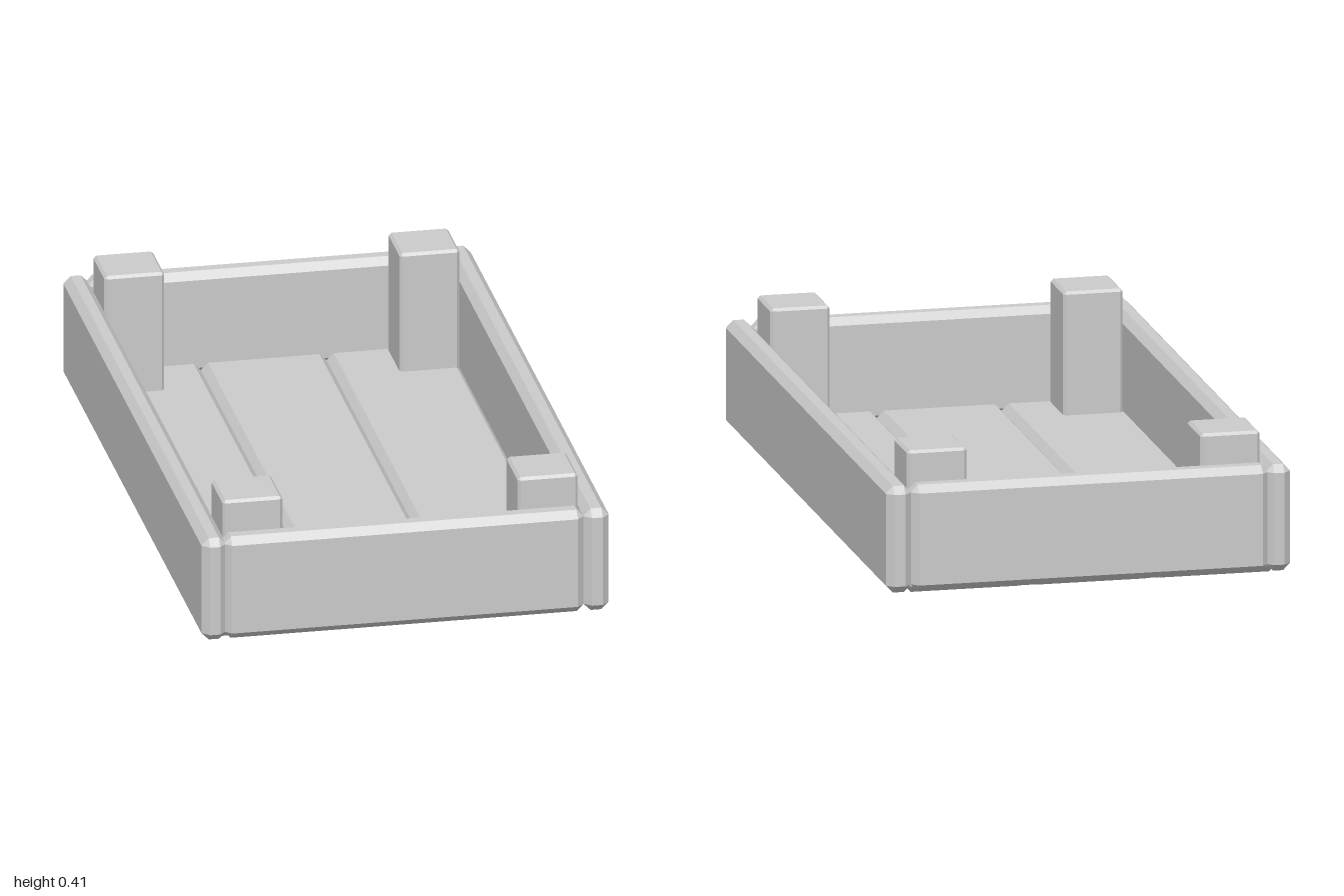
import * as THREE from 'three';
import { ConvexGeometry } from 'three/addons/geometries/ConvexGeometry.js';

const material = new THREE.MeshStandardMaterial({ color: 0xcccccc, flatShading: true });

// Box between two corners with every edge chamfered by c
function chamferBox(name, min, max, c) {
  const mid = min.map((v, i) => (v + max[i]) / 2);
  const half = min.map((v, i) => (max[i] - v) / 2);
  const points = [];
  for (const sx of [-1, 1]) for (const sy of [-1, 1]) for (const sz of [-1, 1]) {
    for (let axis = 0; axis < 3; axis++) {
      const p = half.map((h, i) => (i === axis ? h : h - c));
      points.push(new THREE.Vector3(p[0] * sx, p[1] * sy, p[2] * sz));
    }
  }
  const mesh = new THREE.Mesh(new ConvexGeometry(points), material);
  mesh.name = name;
  mesh.position.set(...mid);
  return mesh;
}

export function createModel() {
  const crate = new THREE.Group();
  crate.name = 'crate';

  // Long side boards
  crate.add(chamferBox('leftSideBoard', [0.51, 0.015, -1], [0.583, 0.323, 1], 0.021));
  crate.add(chamferBox('rightSideBoard', [-0.583, 0.015, -1], [-0.512, 0.323, 1], 0.021));

  // Short end boards
  crate.add(chamferBox('frontBoard', [-0.52, 0.015, 0.927], [0.512, 0.323, 1], 0.021));
  crate.add(chamferBox('backBoard', [-0.52, 0.015, -1], [0.512, 0.323, -0.927], 0.021));

  // Three floor planks, meeting in V-shaped grooves
  const seams = [-0.555, -0.2, 0.16, 0.518];
  for (let i = 0; i < 3; i++) {
    crate.add(chamferBox('floorPlank', [seams[i], 0, -0.945], [seams[i + 1], 0.05, 0.945], 0.02));
  }

  // Corner posts rising above the boards
  for (const x of [-0.424, 0.421]) for (const z of [-0.837, 0.837]) {
    crate.add(chamferBox('cornerPost', [x - 0.086, 0.03, z - 0.084], [x + 0.086, 0.407, z + 0.084], 0.008));
  }

  return crate;
}
